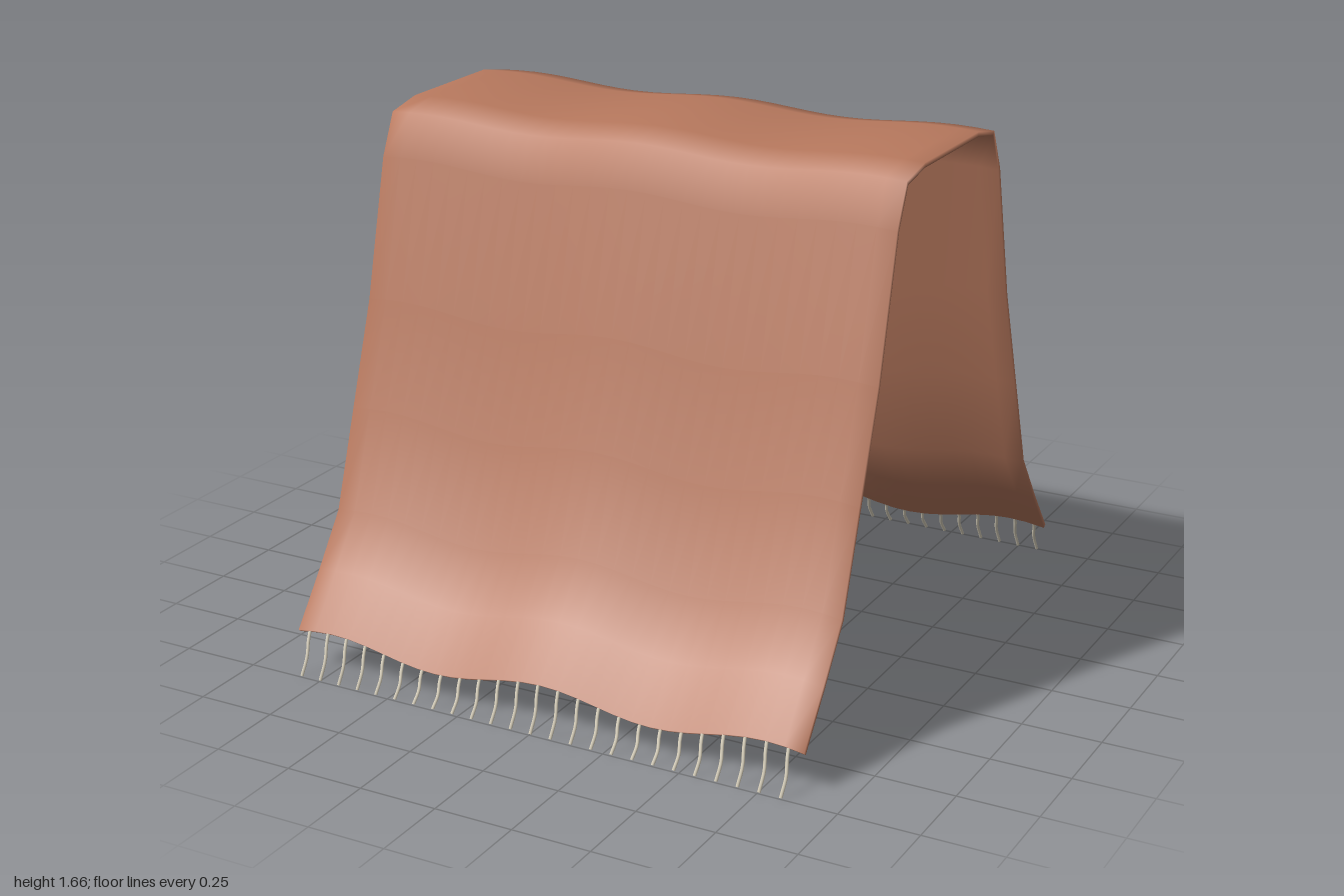
import * as THREE from 'three';

const HALF_WIDTH = 0.865, COLS = 28, THICK = 0.015;

// Half of the drape's outer line as [z, y], from the middle of the top to the front hem
const HALF = [[0, 1.65], [0.2, 1.65], [0.325, 1.625], [0.385, 1.495], [0.49, 1.062],
  [0.6, 0.735], [0.703, 0.428], [0.82, 0.265], [0.938, 0.112]];

// Gentle ripple along x that grows toward the hems
const ripple = (x, y) => (0.01 + 0.015 * (1 - y / 1.65)) * Math.cos((2 * Math.PI * x) / 0.74);

// Closed slab swept along x; shared vertices keep it soft at the edges
function clothGeometry() {
  const outer = [...HALF.slice(1).reverse().map(([z, y]) => [-z, y]), ...HALF];
  const n = outer.length;
  const inner = outer.map(([z, y], k) => {
    const a = outer[Math.max(k - 1, 0)], b = outer[Math.min(k + 1, n - 1)];
    const dz = b[0] - a[0], dy = b[1] - a[1], len = Math.hypot(dz, dy);
    return [z + (dy / len) * THICK, y - (dz / len) * THICK];
  });
  const ring = [...outer, ...inner.reverse()], m = ring.length;
  const pos = [], idx = [];
  for (let i = 0; i <= COLS; i++) {
    const x = HALF_WIDTH * (2 * i / COLS - 1);
    ring.forEach(([z, y], k) => {
      const base = outer[k < n ? k : m - 1 - k][1];
      pos.push(x, y + ripple(x, base), z);
    });
  }
  for (let i = 0; i < COLS; i++) {
    for (let k = 0; k < m; k++) {
      const a = i * m + k, b = i * m + (k + 1) % m, c = a + m, d = b + m;
      idx.push(a, b, c, b, d, c);
    }
  }
  // Side edges
  const last = COLS * m;
  for (let k = 0; k < n - 1; k++) {
    const o0 = k, o1 = k + 1, i0 = m - 1 - k, i1 = m - 2 - k;
    idx.push(last + i0, last + o0, last + o1, last + i0, last + o1, last + i1);
    idx.push(i0, o1, o0, i0, i1, o1);
  }
  const g = new THREE.BufferGeometry();
  g.setAttribute('position', new THREE.Float32BufferAttribute(pos, 3));
  g.setIndex(idx);
  g.computeVertexNormals();
  return g;
}

// One row of curved tassel threads hanging from the front hem
function fringeRow(material) {
  const row = new THREE.Group();
  const count = 25;
  for (let i = 0; i < count; i++) {
    const x = -0.825 + (1.64 * i) / (count - 1);
    const top = 0.108 + ripple(x, 0.11);
    const curve = new THREE.CatmullRomCurve3([
      new THREE.Vector3(x, top, 0.934),
      new THREE.Vector3(x + 0.004, top * 0.8, 0.95),
      new THREE.Vector3(x + 0.012, top * 0.45, 0.972),
      new THREE.Vector3(x + 0.008, 0.003, 0.997),
    ]);
    const thread = new THREE.Mesh(new THREE.TubeGeometry(curve, 8, 0.0055, 6), material);
    thread.name = 'fringeThread';
    row.add(thread);
  }
  return row;
}

export function createModel() {
  const clothColor = new THREE.MeshStandardMaterial({ color: 0xb8795e });
  clothColor.name = 'terracotta cloth';
  const fringeColor = new THREE.MeshStandardMaterial({ color: 0xd8d0bc });
  fringeColor.name = 'pale fringe';

  const model = new THREE.Group();
  model.name = 'drapedBlanket';

  const cloth = new THREE.Mesh(clothGeometry(), clothColor);
  cloth.name = 'cloth';
  model.add(cloth);

  // The back row is the front row turned half way round
  ['frontFringe', 'backFringe'].forEach((name, i) => {
    const row = fringeRow(fringeColor);
    row.name = name;
    row.rotation.y = i * Math.PI;
    model.add(row);
  });
  return model;
}
